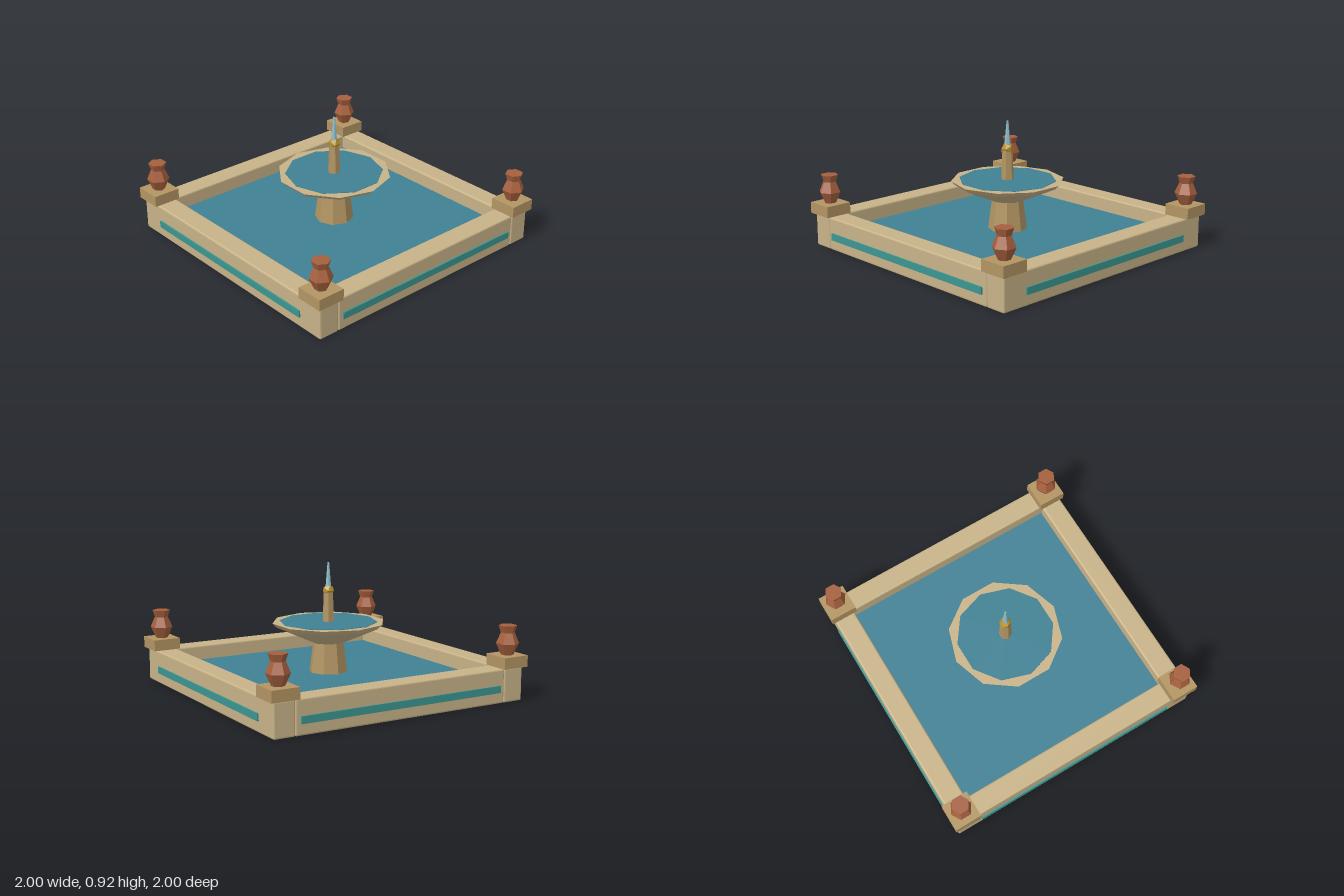
import * as THREE from 'three';
import { RoundedBoxGeometry } from 'three/addons/geometries/RoundedBoxGeometry.js';

const mat = (color) => new THREE.MeshStandardMaterial({ color, flatShading: true });
const SAND = mat(0xc8b388), STONE = mat(0xb39563), CLAY = mat(0xa55f3d);
const WATER = mat(0x3f8194), TEAL = mat(0x3c9691), GOLD = mat(0xb8922e), JET = mat(0x8fbfcc);

export function createModel() {
  const root = new THREE.Group();
  const add = (name, geometry, material, x, y, z, parent = root) => {
    const mesh = new THREE.Mesh(geometry, material);
    mesh.name = name;
    mesh.position.set(x, y, z);
    parent.add(mesh);
    return mesh;
  };
  const lathe = (points, sides, start = 0) =>
    new THREE.LatheGeometry(points.map(([r, y]) => new THREE.Vector2(r, y)), sides, start);

  // Basin walls with inlaid bands: long front and back, shorter sides between them
  [['front', 0, 1.95], ['left', 1, 1.64], ['back', 2, 1.95], ['right', 3, 1.64]].forEach(([side, turn, length]) => {
    const wall = new THREE.Group();
    wall.name = side + 'Wall';
    wall.rotation.y = turn * Math.PI / 2;
    add(side + 'WallStone', new RoundedBoxGeometry(length, 0.24, 0.155, 2, 0.012), SAND, 0, 0.12, 0.8975, wall);
    add(side + 'Band', new THREE.BoxGeometry(1.565, 0.05, 0.02), TEAL, 0, 0.103, 0.976, wall);
    root.add(wall);
  });

  // Pool water
  add('poolWater', new THREE.BoxGeometry(1.64, 0.125, 1.64), WATER, 0, 0.0725, 0);

  // Corner caps, each carrying a six-sided urn
  const urn = lathe([[0, 0], [0.044, 0], [0.08, 0.08], [0.048, 0.155], [0.065, 0.205], [0, 0.205]], 6, Math.PI / 2);
  for (const x of [-0.9, 0.9]) for (const z of [-0.9, 0.9]) {
    const corner = (z > 0 ? 'front' : 'back') + (x > 0 ? 'Left' : 'Right');
    add(corner + 'Cap', new THREE.BoxGeometry(0.2, 0.08, 0.2), STONE, x, 0.28, z);
    add(corner + 'Urn', urn, CLAY, x, 0.32, z);
  }

  // Central fountain: pedestal, ten-sided bowl and its water
  add('pedestal', new THREE.CylinderGeometry(0.11, 0.142, 0.25, 8), STONE, 0, 0.235, 0);
  add('bowl', lathe([[0, 0.35], [0.12, 0.35], [0.375, 0.465], [0.405, 0.495], [0, 0.495]], 10, Math.PI / 2), SAND, 0, 0, 0);
  add('bowlWater', new THREE.CylinderGeometry(0.35, 0.35, 0.02, 10), WATER, 0, 0.488, 0);

  // Upper column, gilded knob and water jet
  add('column', new THREE.CylinderGeometry(0.037, 0.046, 0.23, 6), STONE, 0, 0.605, 0);
  add('knob', new THREE.IcosahedronGeometry(0.044, 0), GOLD, 0, 0.72, 0);
  add('waterJet', new THREE.CylinderGeometry(0.007, 0.024, 0.19, 6), JET, 0, 0.825, 0);

  return root;
}
